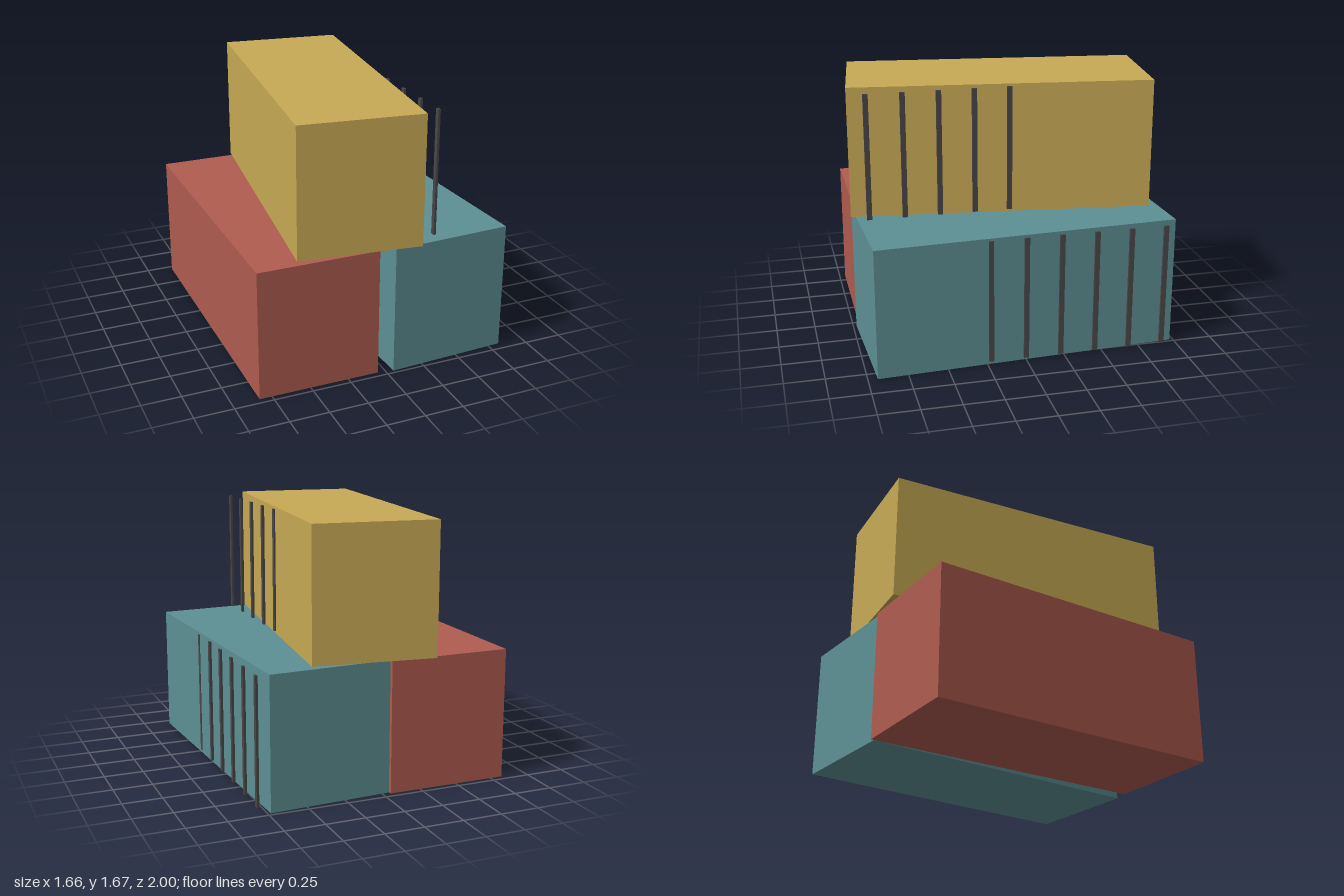
import * as THREE from 'three';

const W = 0.78, H = 0.833, L = 1.92;

const material = (name, color) => {
  const m = new THREE.MeshStandardMaterial({ color });
  m.name = name;
  return m;
};

export function createModel() {
  const red = material('brickRed', 0xb05c50);
  const teal = material('teal', 0x5d9094);
  const yellow = material('mustard', 0xc8aa55);
  const dark = material('darkRib', 0x4a4648);

  const model = new THREE.Group();
  model.name = 'containerStack';
  const boxGeometry = new THREE.BoxGeometry(W, H, L);
  const ribGeometry = new THREE.BoxGeometry(0.015, 0.8, 0.032);

  // One container: a turned box, with a straight row of upright ribs on its right side
  function addContainer(name, mat, x, y, turn) {
    const container = new THREE.Group();
    container.name = name;
    container.position.set(x, y + H / 2, 0);

    const body = new THREE.Mesh(boxGeometry, mat);
    body.name = name + 'Body';
    body.rotation.y = turn;
    container.add(body);

    // The rib row keeps to the world axes, so the turned boxes swallow part of it
    for (let i = -4; i <= 4; i++) {
      const rib = new THREE.Mesh(ribGeometry, dark);
      rib.name = name + 'Rib';
      rib.position.set(W / 2 + 0.0065, 0, i * 0.224);
      container.add(rib);
    }
    model.add(container);
  }

  addContainer('lowerRightContainer', red, -0.44, 0, 0);
  addContainer('lowerLeftContainer', teal, 0.39, 0, 0.05);
  addContainer('upperContainer', yellow, -0.058, H, -0.12);

  return model;
}
